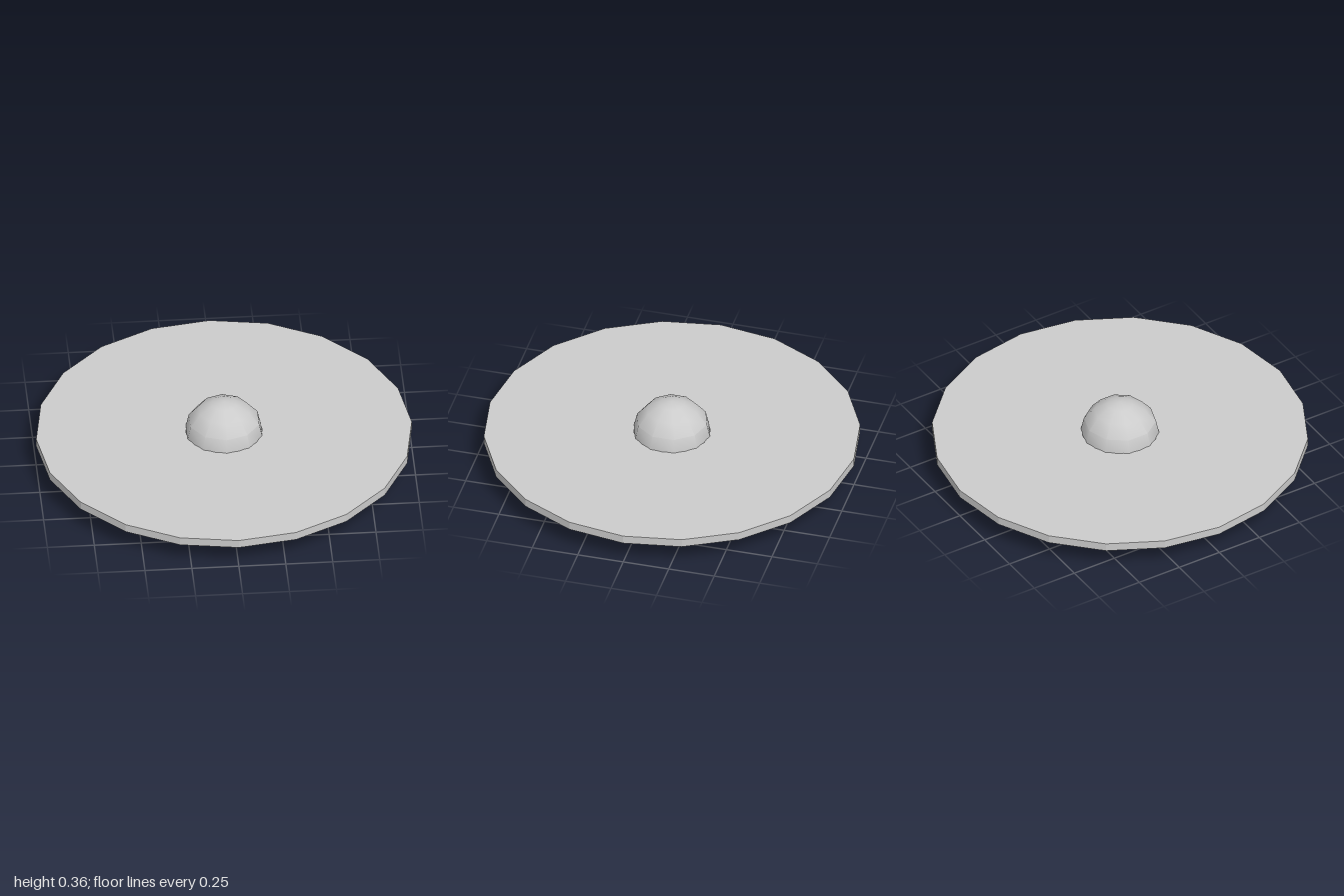
import * as THREE from 'three';
import { toCreasedNormals } from 'three/addons/utils/BufferGeometryUtils.js';

const grey = () => new THREE.MeshStandardMaterial({ color: 0xcccccc, side: THREE.DoubleSide });

function part(name, geometry) {
  const mesh = new THREE.Mesh(geometry, grey());
  mesh.name = name;
  return mesh;
}

// Corners of a regular polygon
function ring(radius, sides) {
  return Array.from({ length: sides }, (_, i) => {
    const a = (i / sides) * Math.PI * 2;
    return new THREE.Vector2(radius * Math.cos(a), radius * Math.sin(a));
  });
}

export function createModel() {
  const model = new THREE.Group();
  model.name = 'roundShield';

  // Flat twenty-sided board with an opening behind the boss
  const board = new THREE.Shape(ring(1, 20));
  board.holes.push(new THREE.Path(ring(0.203, 20)));
  const boardGeo = new THREE.ExtrudeGeometry(board, { depth: 0.046, bevelEnabled: false });
  boardGeo.rotateX(-Math.PI / 2).translate(0, 0.125, 0);
  model.add(part('board', boardGeo));

  // Hollow ten-sided dome
  const domeProfile = [
    [0.21, 0.15], [0.208, 0.172], [0.192, 0.245], [0.137, 0.31], [0.068, 0.348], [0, 0.362],
  ].map(([r, y]) => new THREE.Vector2(r, y));
  model.add(part('boss', toCreasedNormals(new THREE.LatheGeometry(domeProfile, 10), 0.7)));

  // Cranked hand grip running front to back, with chamfered edges
  const half = [
    [0.13, 0.046], [0.245, 0.126], [0.455, 0.126], [0.455, 0.088], [0.262, 0.088], [0.155, 0.003],
  ];
  const outline = [...half, ...half.map(([z, y]) => [-z, y]).reverse()];
  const gripShape = new THREE.Shape(outline.map(([z, y]) => new THREE.Vector2(z, y)));
  const bevel = 0.012, width = 0.106;
  const gripGeo = new THREE.ExtrudeGeometry(gripShape, {
    depth: width - 2 * bevel, bevelThickness: bevel, bevelSize: bevel, bevelOffset: -bevel, bevelSegments: 2,
  });
  gripGeo.translate(0, 0, bevel - width / 2).rotateY(-Math.PI / 2);
  model.add(part('handGrip', toCreasedNormals(gripGeo, 0.85)));

  return model;
}
